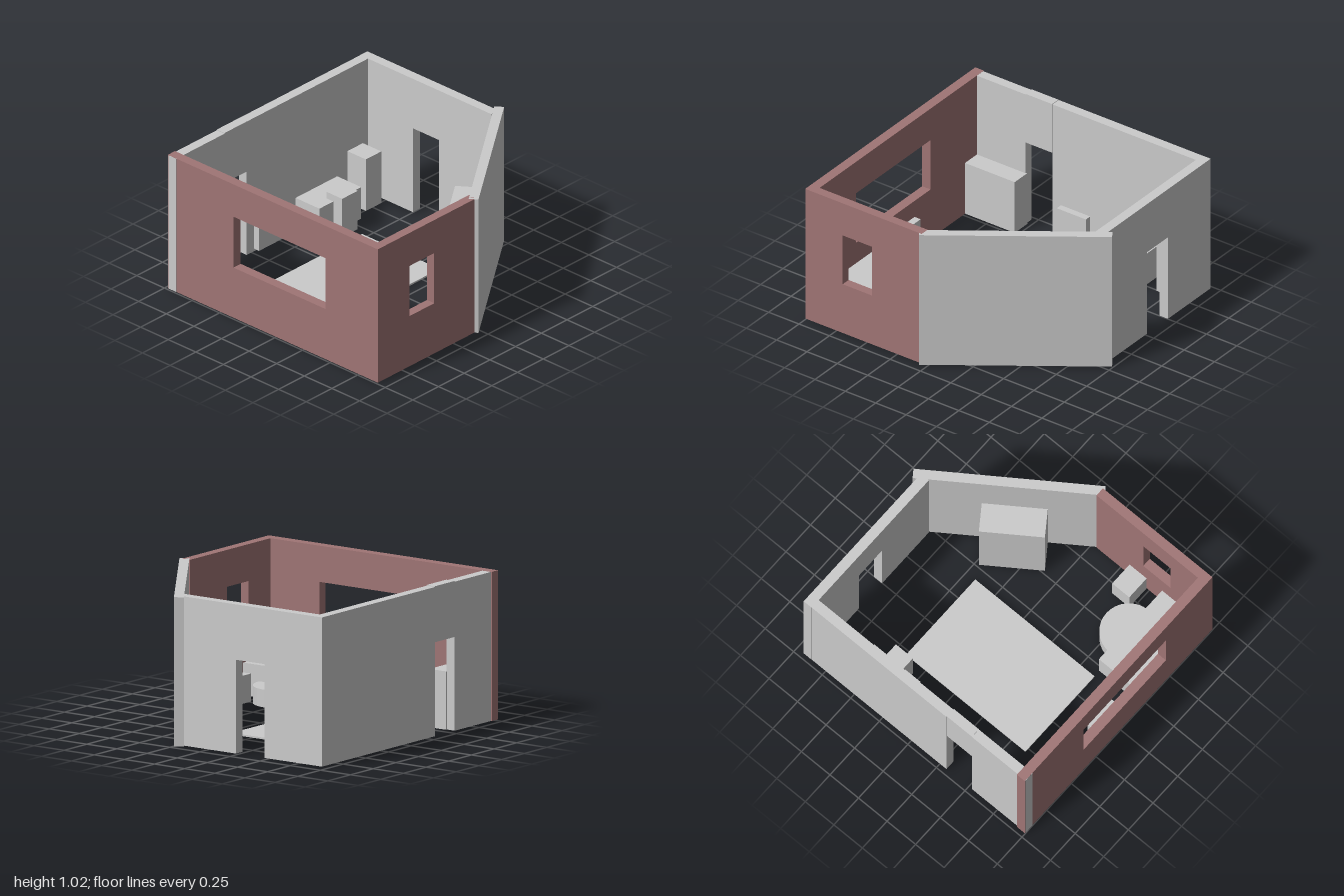
import * as THREE from 'three';

const BASE = 0.01, TOP = 1.02, DOOR = 0.645;

export function createModel() {
  const group = new THREE.Group();
  const grey = new THREE.MeshStandardMaterial({ color: 0xcccccc, flatShading: true });
  const brown = new THREE.MeshStandardMaterial({ color: 0xa07575, flatShading: true });

  function add(name, geometry, material = grey) {
    const mesh = new THREE.Mesh(geometry, material);
    mesh.name = name;
    group.add(mesh);
    return mesh;
  }

  // Box given by its limits on each axis
  function box(name, [x0, x1], [y0, y1], [z0, z1], material) {
    const g = new THREE.BoxGeometry(x1 - x0, y1 - y0, z1 - z0);
    g.translate((x0 + x1) / 2, (y0 + y1) / 2, (z0 + z1) / 2);
    return add(name, g, material);
  }

  // Wall from u0 to u1 with an optional doorway and window, extruded by its thickness
  function wallGeometry(u0, u1, thickness, { door, window: win }) {
    const s = new THREE.Shape();
    s.moveTo(u0, BASE);
    if (door) {
      s.lineTo(door[0], BASE);
      s.lineTo(door[0], DOOR);
      s.lineTo(door[1], DOOR);
      s.lineTo(door[1], BASE);
    }
    s.lineTo(u1, BASE);
    s.lineTo(u1, TOP);
    s.lineTo(u0, TOP);
    s.closePath();
    if (win) {
      const [a, b, c, d] = win;
      const hole = new THREE.Path();
      hole.moveTo(a, c);
      hole.lineTo(a, d);
      hole.lineTo(b, d);
      hole.lineTo(b, c);
      hole.closePath();
      s.holes.push(hole);
    }
    return new THREE.ExtrudeGeometry(s, { depth: thickness, bevelEnabled: false });
  }

  // Walls running along x
  add('frontWall', wallGeometry(-0.97, 0.93, 0.07, { window: [-0.375, 0.46, 0.39, 0.775] })
    .translate(0, 0, 0.929), brown);
  add('backWall', wallGeometry(-0.968, 0.22, 0.07, { door: [-0.49, -0.255] })
    .translate(0, 0, -0.94));

  // Walls running along z
  add('leftSideWall', wallGeometry(0.04, 0.998, 0.066, { window: [0.45, 0.69, 0.39, 0.77] })
    .rotateY(-Math.PI / 2).translate(0.932, 0, 0), brown);
  add('rightSideWall', wallGeometry(-0.938, 0.31, 0.07, {})
    .rotateY(-Math.PI / 2).translate(-0.897, 0, 0));
  box('doorLintel', [-0.963, -0.893], [DOOR, TOP + 0.004], [0.31, 0.53]);
  box('rightSideWallFront', [-0.963, -0.893], [BASE, TOP - 0.001], [0.53, 1]);

  // Diagonal wall and the cabinet standing against it
  const angle = -Math.atan2(1.045, 0.74);
  add('diagonalWall', new THREE.BoxGeometry(1.28, TOP - BASE, 0.066)
    .rotateY(angle).translate(0.558, (TOP + BASE) / 2, -0.459));
  add('diagonalCabinet', new THREE.BoxGeometry(0.44, 0.645, 0.206)
    .rotateY(angle).translate(0.475, 0.3325, -0.35));

  // Rug
  box('rug', [-0.53, 0.17], [0, 0.012], [-0.42, 0.625]);

  // Desk with a round seat tucked under it
  box('desk', [0.22, 0.86], [BASE, 0.23], [0.62, 0.93]);
  add('roundSeat', new THREE.CylinderGeometry(0.197, 0.197, 0.12, 32).translate(0.53, 0.06, 0.615));

  // Furniture along the walls
  box('sideCabinet', [0.69, 0.87], [BASE, 0.2], [0.33, 0.48]);
  box('tallCabinet', [-0.9, -0.73], [BASE, 0.4], [-0.82, -0.67]);
  box('sideTable', [-0.9, -0.68], [BASE, 0.25], [-0.57, -0.165]);
  box('chair', [-0.74, -0.6], [BASE, 0.3], [-0.45, -0.3]);
  box('shelf', [-0.9, -0.76], [BASE, 0.405], [0.52, 0.93]);

  // Radiators
  box('sideRadiator', [-0.9, -0.85], [0.03, 0.26], [0, 0.24]);
  box('frontRadiator', [-0.19, 0.05], [0.08, 0.27], [0.875, 0.925]);

  return group;
}
